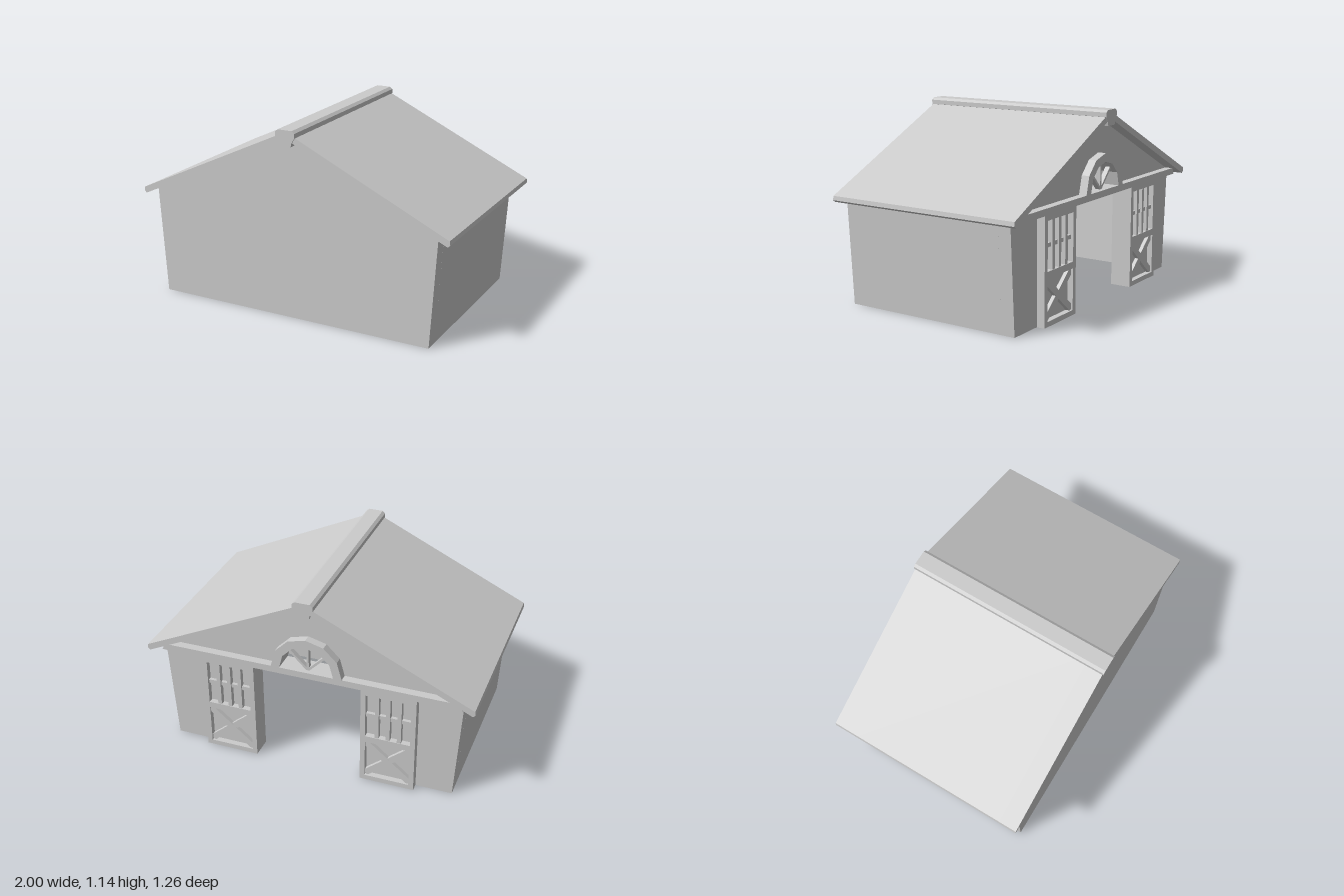
import * as THREE from 'three';

const material = new THREE.MeshStandardMaterial({ color: 0xcccccc, flatShading: true });

// Dimensions shared by several parts
const FRONT = 0.59, BACK = -0.545, WALL = 0.08, FACE = -0.595;
const SILL = 0.63, OPENING = 0.33, DOOR_OUT = 0.66, ARCH_Y = 0.67;

const toPoints = (pts) => pts.map(([x, y]) => new THREE.Vector2(x, y));

// Extrude an outline in the xy plane between two z values
function slab(name, pts, z0, z1, hole) {
  const shape = new THREE.Shape(toPoints(pts));
  if (hole) shape.holes.push(new THREE.Path(toPoints(hole)));
  const geo = new THREE.ExtrudeGeometry(shape, { depth: z1 - z0, bevelEnabled: false });
  geo.translate(0, 0, z0);
  const mesh = new THREE.Mesh(geo, material);
  mesh.name = name;
  return mesh;
}

// Box given by its limits
function block(name, x0, x1, y0, y1, z0, z1) {
  const mesh = new THREE.Mesh(new THREE.BoxGeometry(x1 - x0, y1 - y0, z1 - z0), material);
  mesh.position.set((x0 + x1) / 2, (y0 + y1) / 2, (z0 + z1) / 2);
  mesh.name = name;
  return mesh;
}

// Bar between two points in the xy plane
function bar(name, [ax, ay], [bx, by], width, z0, z1) {
  const len = Math.hypot(bx - ax, by - ay);
  const mesh = block(name, -len / 2, len / 2, -width / 2, width / 2, z0, z1);
  mesh.position.x = (ax + bx) / 2;
  mesh.position.y = (ay + by) / 2;
  mesh.rotation.z = Math.atan2(by - ay, bx - ax);
  return mesh;
}

const mirror = (pts, s) => pts.map(([x, y]) => [x * s, y]);

// Half circle, low-poly, counter-clockwise
function arc(r, n = 6) {
  return Array.from({ length: n + 1 }, (_, i) => {
    const a = (i / n) * Math.PI;
    return [r * Math.cos(a), ARCH_Y + r * Math.sin(a)];
  });
}

// Framed stable door: mullioned upper half, cross-braced lower half
function door(side) {
  const g = new THREE.Group();
  g.name = side > 0 ? 'leftDoor' : 'rightDoor';
  const x0 = Math.min(side * OPENING, side * DOOR_OUT);
  const x1 = Math.max(side * OPENING, side * DOOR_OUT);
  const f = 0.03, midLow = 0.275, midHigh = 0.315;
  g.add(block('doorPanel', x0, x1, 0, SILL, BACK - 0.015, BACK));
  for (const [a, b] of [[x0, x0 + f], [x1 - f, x1]])
    g.add(block('doorStile', a, b, 0, SILL, FACE, BACK));
  for (const [a, b] of [[0, f], [midLow, midHigh], [SILL - f, SILL]])
    g.add(block('doorRail', x0 + f, x1 - f, a, b, FACE, BACK));

  const inL = x0 + f, inR = x1 - f;
  for (let i = 1; i < 4; i++) {
    const x = inL + ((inR - inL) * i) / 4;
    g.add(block('mullion', x - 0.012, x + 0.012, midHigh, SILL - f, FACE + 0.004, BACK));
  }
  const my = (midHigh + SILL - f) / 2;
  g.add(block('glazingBar', inL, inR, my - 0.012, my + 0.012, FACE + 0.015, BACK));
  g.add(bar('crossBrace', [inL, f + 0.01], [inR, midLow - 0.01], 0.04, FACE + 0.01, BACK));
  g.add(bar('crossBrace', [inL, midLow - 0.01], [inR, f + 0.01], 0.04, FACE + 0.012, BACK));
  return g;
}

export function createModel() {
  const barn = new THREE.Group();
  barn.name = 'barn';

  // Gable walls, their tops set into the roof
  const gableTop = [[0.92, 0.668], [0, 1.105], [-0.92, 0.668]];
  barn.add(slab('frontWall', [[-0.88, 0], [0.88, 0], ...gableTop], FRONT - WALL, FRONT));
  barn.add(slab('backWall', [
    [-0.88, 0], [-OPENING, 0], [-OPENING, SILL], [OPENING, SILL], [OPENING, 0],
    [0.88, 0], ...gableTop,
  ], BACK, BACK + WALL, arc(0.165)));

  // Side walls, roof slopes and doors; the roof is thinner above the room
  const wall = [[0.8, 0], [0.88, 0], [0.92, 0.665], [0.842, 0.728]];
  const roofTop = [[0.985, 0.628], [1, 0.64], [0.996, 0.665], [0, 1.133]];
  const verge = [[0, 1.093], ...roofTop];
  const ceiling = [[0, 1.123], [0.841, 0.728], [0.841, 0.696], ...roofTop];
  const zIn0 = BACK + WALL, zIn1 = FRONT - WALL;
  for (const s of [1, -1]) {
    const side = s > 0 ? 'left' : 'right';
    barn.add(slab(side + 'Wall', mirror(wall, s), zIn0, zIn1));
    barn.add(slab(side + 'BackVerge', mirror(verge, s), -0.624, zIn0));
    barn.add(slab(side + 'Roof', mirror(ceiling, s), zIn0, zIn1));
    barn.add(slab(side + 'FrontVerge', mirror(verge, s), zIn1, 0.622));
    barn.add(door(s));
  }

  // Ridge beam
  const ridge = [[0.038, 1.052], [0.044, 1.075], [0.062, 1.105], [0.062, 1.131], [0.045, 1.145]];
  barn.add(slab('ridgeBeam', [...ridge, ...mirror(ridge, -1).reverse()], -0.63, 0.63));

  // Beam across the back, above the doors
  barn.add(slab('doorBeam',
    [[-0.918, SILL], [0.918, SILL], [0.9, ARCH_Y], [-0.9, ARCH_Y]], FACE, BACK));

  // Arched window with fan bars
  const arch = new THREE.Group();
  arch.name = 'archWindow';
  arch.add(slab('archFrame', [...arc(0.217), ...arc(0.165).reverse()], FACE, BACK));
  for (const a of [Math.PI / 4, Math.PI / 2, (3 * Math.PI) / 4])
    arch.add(bar('fanBar', [0, ARCH_Y],
      [0.165 * Math.cos(a), ARCH_Y + 0.165 * Math.sin(a)], 0.014, BACK - 0.02, BACK + 0.01));
  barn.add(arch);

  return barn;
}
